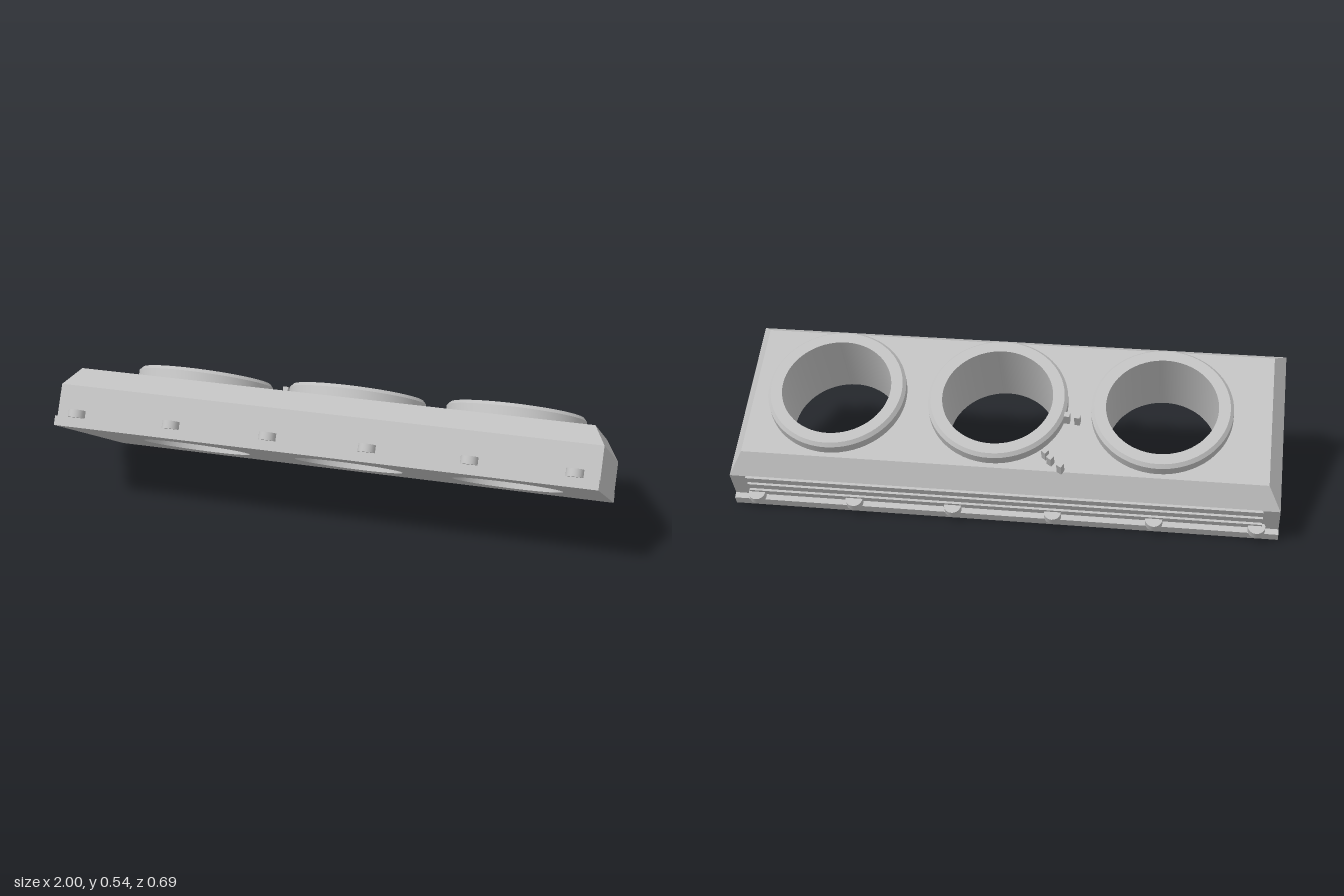
import * as THREE from 'three';
import { toCreasedNormals } from 'three/addons/utils/BufferGeometryUtils.js';

const HOLE_X = [-0.56, 0.04, 0.64];
const HOLE_Z = 0.36, HOLE_R = 0.203;
const DECK = 0.228;

// Side walls through stacked rectangles [y, halfWidth, zBack, zFront]
function loftRects(sections) {
  const rings = sections.map(([y, w, z0, z1]) =>
    [[-w, y, z1], [w, y, z1], [w, y, z0], [-w, y, z0]]);
  const pos = [];
  for (let i = 0; i < rings.length - 1; i++) {
    for (let j = 0; j < 4; j++) {
      const k = (j + 1) % 4;
      const a = rings[i][j], b = rings[i][k], c = rings[i + 1][k], d = rings[i + 1][j];
      pos.push(...a, ...b, ...c, ...a, ...c, ...d);
    }
  }
  const geo = new THREE.BufferGeometry();
  geo.setAttribute('position', new THREE.Float32BufferAttribute(pos, 3));
  geo.computeVertexNormals();
  return geo;
}

// Flat rectangle with the three round openings, facing up (1) or down (-1)
function piercedPlate(w, z0, z1, facing) {
  const s = -facing;
  const shape = new THREE.Shape([[-w, z0], [w, z0], [w, z1], [-w, z1]]
    .map(([x, z]) => new THREE.Vector2(x, s * z)));
  for (const x of HOLE_X) {
    shape.holes.push(new THREE.Path().absarc(x, s * HOLE_Z, HOLE_R, 0, Math.PI * 2, true));
  }
  return new THREE.ShapeGeometry(shape, 32).rotateX(-facing * Math.PI / 2);
}

export function createModel() {
  const model = new THREE.Group();
  const panel = new THREE.Group();
  panel.name = 'tiltedPanel';
  panel.rotation.x = -Math.PI / 6;
  panel.position.z = -0.275;
  model.add(panel);

  const grey = new THREE.MeshStandardMaterial({ color: 0xc0c0c0 });
  grey.name = 'lightGrey';
  const add = (name, geo, x = 0, y = 0, z = 0) => {
    const mesh = new THREE.Mesh(geo, grey);
    mesh.name = name;
    mesh.position.set(x, y, z);
    panel.add(mesh);
    return mesh;
  };

  // Housing: base flange, upright walls, bevelled shoulders
  add('housingWalls', loftRects([
    [0, 1, 0, 0.717],
    [0.036, 1, 0, 0.717],
    [0.036, 1, 0.023, 0.695],
    [0.156, 1, 0.023, 0.695],
    [DECK, 0.955, 0.085, 0.635],
  ]));
  add('housingDeck', piercedPlate(0.955, 0.085, 0.635, 1), 0, DECK);
  add('housingUnderside', piercedPlate(1, 0, 0.717, -1));

  // Raised chamfered collars with their through bores
  const collar = toCreasedNormals(new THREE.LatheGeometry([
    [0.257, DECK], [0.257, 0.263], [0.245, 0.276], [HOLE_R, 0.276], [HOLE_R, 0],
  ].map(([r, y]) => new THREE.Vector2(r, y)), 64), 0.5);
  for (const x of HOLE_X) add('collarAndBore', collar, x, 0, HOLE_Z);

  // Round bolt heads along both flanges
  const bolt = new THREE.CylinderGeometry(0.031, 0.031, 0.029, 24);
  for (let i = 0; i < 6; i++) {
    for (const z of [0.706, 0.012]) add('flangeBolt', bolt, -0.921 + i * 0.3667, 0.0505, z);
  }

  // Thin ribs along the back wall
  const rib = new THREE.BoxGeometry(1.88, 0.012, 0.016);
  for (const y of [0.151, 0.109, 0.068]) add('backRib', rib, 0, y, 0.022);

  // Small upright posts beside the middle collar
  const post = new THREE.BoxGeometry(0.02, 0.047, 0.02);
  const posts = [[-0.217, 0.089, 0.5], [-0.178, 0.119, 0.6], [-0.157, 0.143, 0.7],
    [-0.258, 0.298, 0.1], [-0.22, 0.302, 0.1]];
  for (const [x, z, turn] of posts) add('deckPost', post, x, DECK + 0.0225, z).rotation.y = -turn;

  return model;
}
